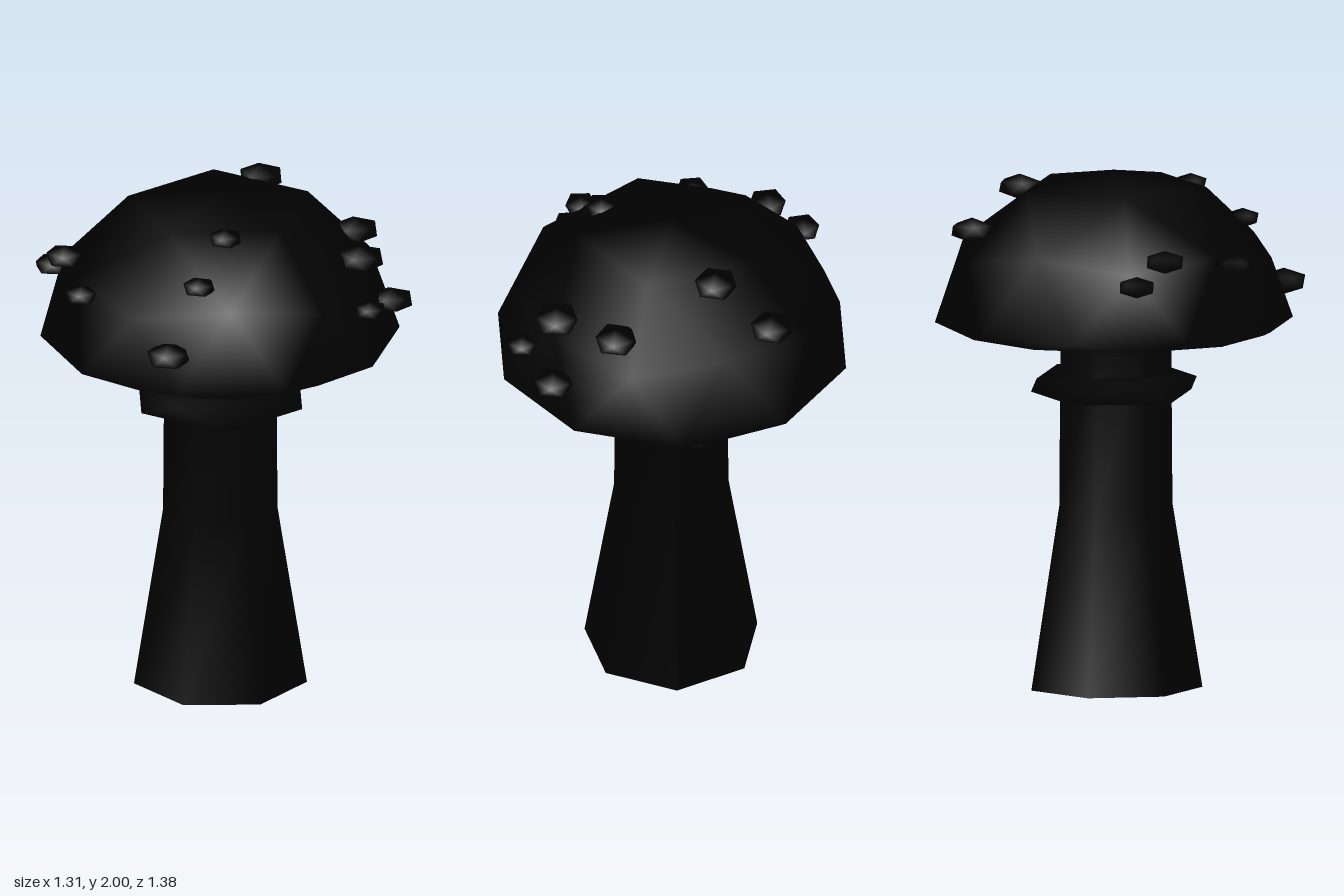
import * as THREE from 'three';
import { mergeVertices } from 'three/addons/utils/BufferGeometryUtils.js';

// Icosphere standing on a vertex, with its upper five-point ring pointing to +x
function icosphere(detail) {
  let geo = new THREE.IcosahedronGeometry(1, detail);
  geo.deleteAttribute('uv');
  geo.deleteAttribute('normal');
  geo = mergeVertices(geo, 1e-3);
  geo.rotateZ(-Math.atan(2 / (1 + Math.sqrt(5))));
  return geo;
}

export function createModel() {
  const model = new THREE.Group();
  const material = new THREE.MeshStandardMaterial({ color: 0x000000 });

  const add = (name, geo, x, y, z, parent = model) => {
    const mesh = new THREE.Mesh(geo, material);
    mesh.name = name;
    mesh.position.set(x, y, z);
    parent.add(mesh);
    return mesh;
  };

  // Seven-sided stem, flared toward the foot
  const lower = new THREE.CylinderGeometry(0.225, 0.34, 0.71, 7, 1, true);
  const stem = new THREE.CylinderGeometry(0.22, 0.34, 1.38, 7, 2);
  lower.dispose();
  const p = stem.attributes.position;
  for (let i = 0; i < p.count; i++) {
    if (Math.abs(p.getY(i)) < 0.01) {
      const s = 0.225 / Math.hypot(p.getX(i), p.getZ(i));
      p.setXYZ(i, p.getX(i) * s, 0.71 - 0.69, p.getZ(i) * s);
    }
  }
  stem.computeVertexNormals();
  stem.rotateY(Math.PI); // one corner faces the back
  add('stem', stem, 0, 0.69, 0);

  // Collar around the stem: a squashed icosahedron
  const collar = icosphere(0);
  collar.scale(0.363, 0.09, 0.363);
  collar.computeVertexNormals();
  add('collar', collar, 0, 1.17, 0);

  // Cap: domed above its rim, nearly flat below
  const cap = icosphere(1);
  const c = cap.attributes.position;
  for (let i = 0; i < c.count; i++) {
    const y = c.getY(i);
    let h = y > 0 ? y * 0.58 : y * 0.085;
    if (y > 0.7 && y < 0.95) h += 0.03; // fuller shoulders
    c.setXYZ(i, c.getX(i) * 0.69, h, c.getZ(i) * 0.69);
  }
  cap.computeVertexNormals();
  add('cap', cap, 0, 1.42, 0);

  // Warts scattered over the cap: x, y, z, radius
  const warts = new THREE.Group();
  warts.name = 'warts';
  model.add(warts);
  const spots = [
    [-0.36, 1.78, -0.42, 0.09], [-0.15, 1.93, -0.33, 0.09],
    [0.24, 1.79, -0.48, 0.09], [0.48, 1.58, -0.46, 0.085],
    [0.46, 1.78, -0.32, 0.095], [0.59, 1.62, -0.26, 0.065],
    [0.26, 1.93, 0.19, 0.068], [0.33, 1.80, 0.38, 0.068],
    [0.35, 1.565, 0.55, 0.092], [-0.11, 1.69, 0.60, 0.07],
    [-0.39, 1.725, 0.45, 0.08], [-0.52, 1.64, 0.40, 0.075],
  ];
  const wart = icosphere(0);
  wart.scale(1, 0.55, 1);
  wart.computeVertexNormals();
  spots.forEach(([x, y, z, r], i) => {
    const mesh = add('wart', wart, x, y, z, warts);
    mesh.scale.setScalar(r);
    mesh.rotation.y = i * 1.3;
  });

  return model;
}
